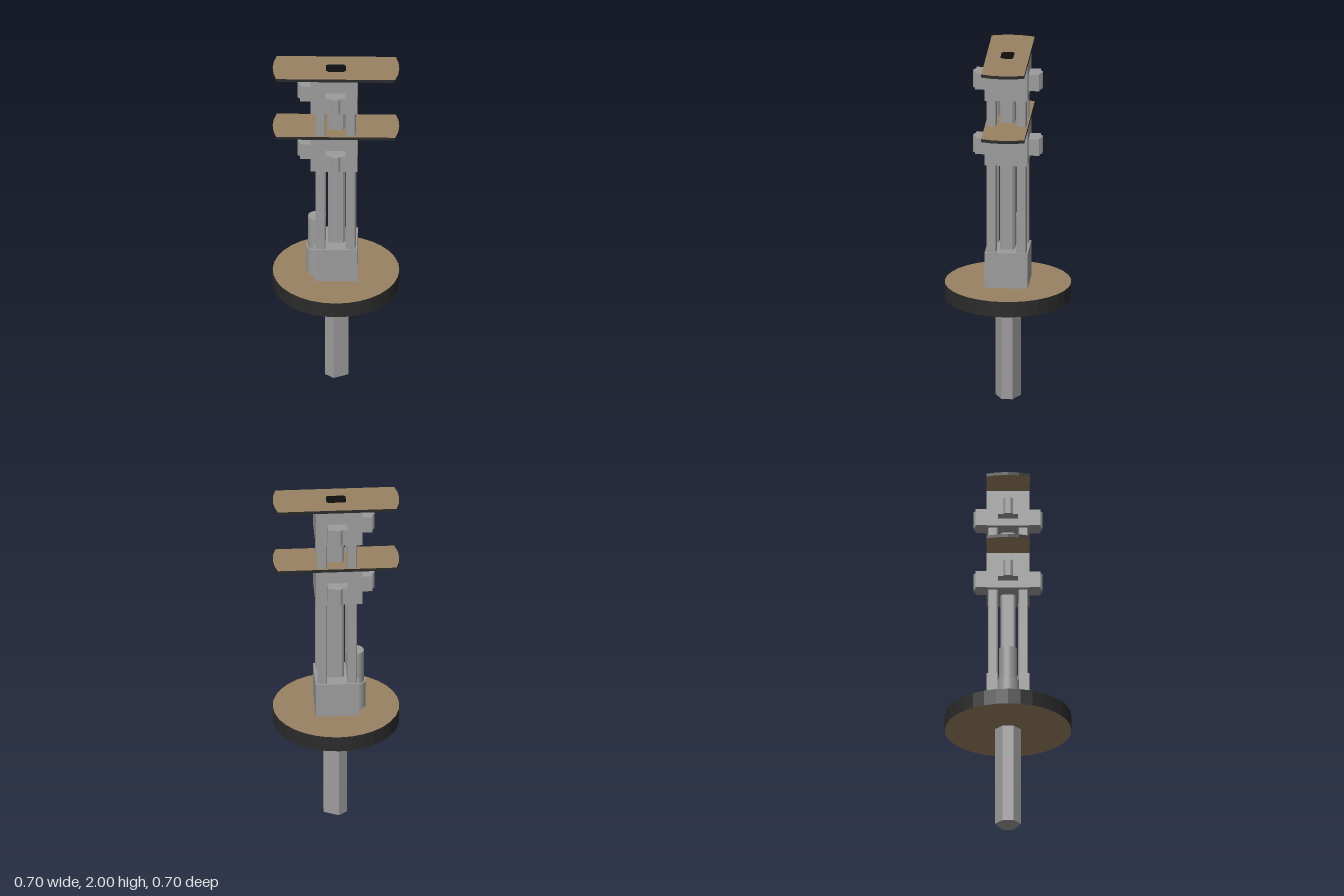
import * as THREE from 'three';

const grey = new THREE.MeshStandardMaterial({ name: 'metal grey', color: 0x9c9c9c });
const tan = new THREE.MeshStandardMaterial({ name: 'board tan', color: 0x9a8262 });
const dark = new THREE.MeshStandardMaterial({ name: 'edge charcoal', color: 0x2b2b2b });
const black = new THREE.MeshStandardMaterial({ name: 'socket black', color: 0x0e0e0e });

// Vertical prism from [x, z] outline points, between heights y0 and y1
function prism(name, points, y0, y1, material) {
  const shape = new THREE.Shape(points.map(([x, z]) => new THREE.Vector2(x, -z)));
  const geometry = new THREE.ExtrudeGeometry(shape, { depth: y1 - y0, bevelEnabled: false });
  geometry.rotateX(-Math.PI / 2).translate(0, y0, 0);
  const mesh = new THREE.Mesh(geometry, material);
  mesh.name = name;
  return mesh;
}

// Rectangle outline with cut corners
function chamfered(x0, x1, z0, z1, c) {
  return [[x0 + c, z0], [x1 - c, z0], [x1, z0 + c], [x1, z1 - c],
    [x1 - c, z1], [x0 + c, z1], [x0, z1 - c], [x0, z0 + c]];
}

const rect = (x0, x1, z0, z1) => [[x0, z0], [x1, z0], [x1, z1], [x0, z1]];

function cylinder(name, radius, x, y0, y1) {
  const mesh = new THREE.Mesh(new THREE.CylinderGeometry(radius, radius, y1 - y0, 32), grey);
  mesh.name = name;
  mesh.position.set(x, (y0 + y1) / 2, 0);
  return mesh;
}

// Outline of the round board, and of a board trimmed to a strip of half width w
const R = 0.352;
function disc() {
  return Array.from({ length: 32 }, (_, i) => {
    const a = (i * Math.PI) / 16;
    return [R * Math.cos(a), R * Math.sin(a)];
  });
}
function strip(w) {
  const a = Math.asin(w / R), points = [];
  for (const start of [0, Math.PI]) {
    for (let i = 0; i <= 4; i++) {
      const t = start - a + (i / 4) * 2 * a;
      points.push([R * Math.cos(t), R * Math.sin(t)]);
    }
  }
  return points;
}

export function createModel() {
  const model = new THREE.Group();
  model.name = 'tieredStand';

  // Hollow-looking faceted leg and round base board
  model.add(prism('leg', [[-0.06, -0.03], [-0.013, -0.072], [0.07, -0.03],
    [0.07, 0.03], [-0.013, 0.072], [-0.06, 0.03]], 0, 0.58, grey));
  model.add(prism('baseBoard', disc(), 0.58, 0.67, [tan, dark]));

  // Base block with a slot that holds the motor
  model.add(prism('baseBlock', [[-0.12, -0.12], [0.12, -0.12], [0.12, 0.12], [-0.12, 0.12],
    [-0.12, 0.06], [-0.105, 0.06], [-0.06, 0.04], [-0.06, -0.04], [-0.105, -0.06], [-0.12, -0.06]],
    0.67, 0.875, grey));
  model.add(cylinder('motorHousing', 0.06, -0.105, 0.67, 0.83));
  model.add(cylinder('motor', 0.05, -0.105, 0.83, 1.025));

  // Four corner rails around a central column
  for (const sx of [-1, 1]) {
    for (const sz of [-1, 1]) {
      const x = sx * 0.084, z = sz * 0.084;
      model.add(prism('cornerRail', chamfered(x - 0.027, x + 0.027, z - 0.027, z + 0.027, 0.006),
        0.87, 1.9, grey));
    }
  }
  model.add(prism('centralColumn', chamfered(-0.044, 0.052, -0.042, 0.042, 0.012), 0.87, 1.9, grey));

  // Two carriages, each with three stepped clamps and a strip board
  const clampOutline = [[-0.055, 0], [0.055, 0], [0.055, 0.06], [0.028, 0.06],
    [0.014, 0.073], [-0.014, 0.073], [-0.028, 0.06], [-0.055, 0.06]];
  for (const top of [1.6, 1.98]) {
    const carriage = new THREE.Group();
    carriage.name = 'carriage';
    carriage.add(prism('carriageBlock', rect(-0.14, 0.12, -0.12, 0.12), top - 0.21, top, grey));
    for (const [name, x, z, turn] of [['frontClamp', 0, 0.12, 0],
      ['backClamp', 0, -0.12, Math.PI], ['sideClamp', -0.14, 0, -Math.PI / 2]]) {
      const clamp = prism(name, clampOutline, top - 0.168, top - 0.072, grey);
      clamp.position.set(x, 0, z);
      clamp.rotation.y = turn;
      carriage.add(clamp);
    }
    carriage.add(prism('stripBoard', strip(0.12), top, top + 0.018, [tan, dark]));
    model.add(carriage);
  }

  // Rails and column carry on through the lower board; dark socket on the top board
  model.add(prism('topSocket', [[-0.047, -0.033], [0.047, -0.033], [0.047, -0.026], [0.055, -0.026],
    [0.055, 0.032], [0.047, 0.032], [0.047, 0.039], [-0.047, 0.039], [-0.047, 0.032],
    [-0.055, 0.032], [-0.055, -0.026], [-0.047, -0.026]], 1.996, 2.0, black));

  return model;
}
